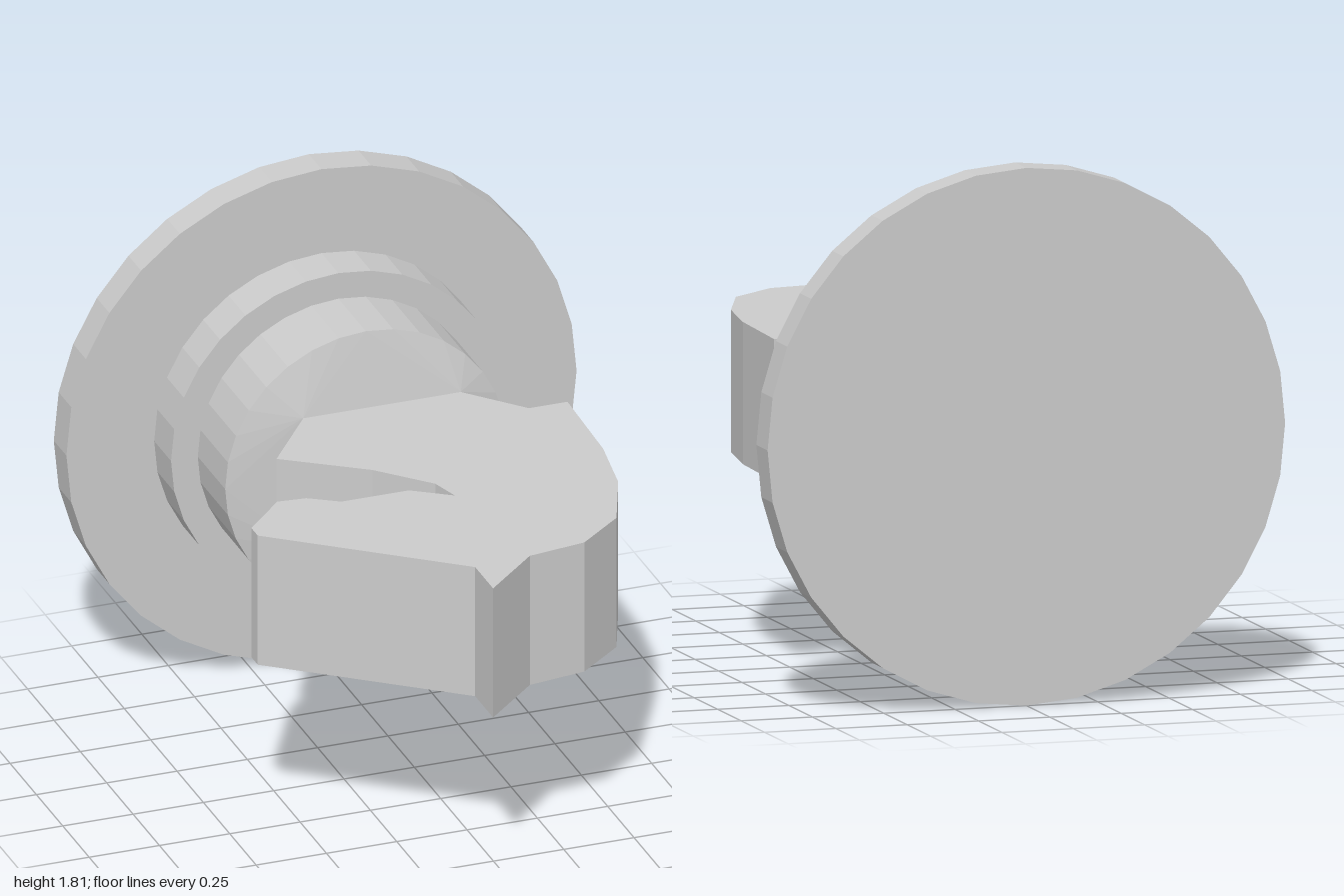
import * as THREE from 'three';
import { ConvexGeometry } from 'three/addons/geometries/ConvexGeometry.js';

const SIDES = 32;
const AXIS_Y = 0.91; // height of the round base's axis
const HOOK_Y0 = 0.67, HOOK_Y1 = 1.15;

export function createModel() {
  const group = new THREE.Group();
  const material = new THREE.MeshStandardMaterial({ color: 0xcccccc, flatShading: true });
  const add = (name, geometry) => {
    const mesh = new THREE.Mesh(geometry, material);
    mesh.name = name;
    group.add(mesh);
  };

  // Stepped round base: wide plate, collar and boss turned about the z axis
  const profile = [
    [0, -1], [0.907, -1], [0.907, -0.88], [0.595, -0.88],
    [0.595, -0.72], [0.5, -0.72], [0.5, -0.46],
  ].map(([r, z]) => new THREE.Vector2(r, z));
  add('base', new THREE.LatheGeometry(profile, SIDES).rotateX(Math.PI / 2).translate(0, AXIS_Y, 0));

  // Neck: blends the boss's circle into the hook's rectangular root
  const neck = [];
  for (let i = 0; i < SIDES; i++) {
    const a = (i / SIDES) * Math.PI * 2;
    neck.push(new THREE.Vector3(0.5 * Math.sin(a), AXIS_Y + 0.5 * Math.cos(a), -0.46));
  }
  for (const x of [-0.24, 0.32])
    for (const y of [HOOK_Y0, HOOK_Y1]) neck.push(new THREE.Vector3(x, y, -0.413));
  add('neck', new ConvexGeometry(neck));

  // Hook: outline in x and z, extruded upwards
  const outline = [
    // root, upper lip and throat
    [-0.24, -0.413], [-0.43, -0.16], [-0.16, 0.03], [0, 0.2], [0.03, 0.305],
    // inner edge and blunt tip
    [-0.1, 0.215], [-0.34, 0.215], [-0.44, 0.15], [-0.54, 0.14], [-0.69, 0.295], [-0.69, 0.355],
    // front spur
    [-0.095, 0.83], [-0.095, 1], [0.105, 0.815],
    // rounded outer back and rear step
    [0.31, 0.785], [0.475, 0.65], [0.575, 0.4], [0.615, 0.15], [0.627, -0.22], [0.49, -0.22],
    [0.32, -0.413],
  ].map(([x, z]) => new THREE.Vector2(x, -z));
  const hook = new THREE.ExtrudeGeometry(new THREE.Shape(outline), {
    depth: HOOK_Y1 - HOOK_Y0, bevelEnabled: false,
  });
  add('hook', hook.rotateX(-Math.PI / 2).translate(0, HOOK_Y0, 0));

  return group;
}
